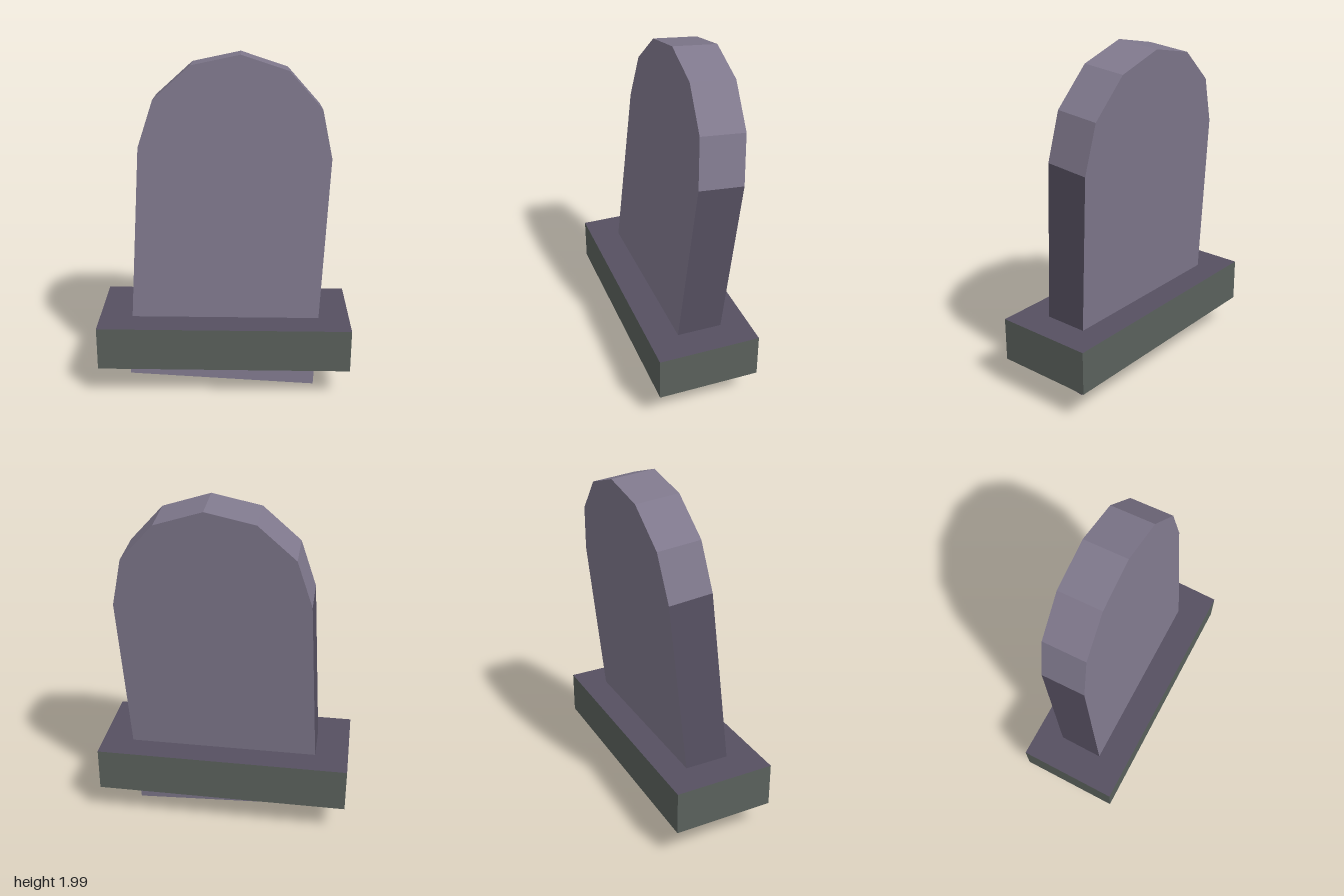
import * as THREE from 'three';

const stone = new THREE.MeshStandardMaterial({ name: 'paleStone', color: 0x7f788c, flatShading: true });
const darkStone = new THREE.MeshStandardMaterial({ name: 'darkStone', color: 0x565061, flatShading: true, side: THREE.DoubleSide });
const moss = new THREE.MeshStandardMaterial({ name: 'mossyStone', color: 0x5a615c, flatShading: true, side: THREE.DoubleSide });

// Arched slab: pale faces and arch, dark straight sides and underside
function makeSlab() {
  const radius = 0.556, shoulder = 1.397, depth = 0.26, segments = 6;
  const points = [new THREE.Vector2(-radius, 0), new THREE.Vector2(radius, 0)];
  for (let i = 0; i <= segments; i++) {
    const a = (i / segments) * Math.PI;
    points.push(new THREE.Vector2(Math.cos(a) * radius, shoulder + Math.sin(a) * radius));
  }
  const geometry = new THREE.ExtrudeGeometry(new THREE.Shape(points), { depth, bevelEnabled: false });
  geometry.translate(0, 0, -depth / 2);

  // Pick the colour of each triangle from the way it faces
  const normal = geometry.attributes.normal;
  geometry.clearGroups();
  for (let i = 0; i < normal.count; i += 3) {
    const dark = Math.abs(normal.getZ(i)) < 0.5 && normal.getY(i) < 0.01;
    geometry.addGroup(i, 3, dark ? 1 : 0);
  }
  const slab = new THREE.Mesh(geometry, [stone, darkStone]);
  slab.name = 'archedSlab';
  slab.position.set(-0.015, 0.047, 0.028);
  slab.rotation.set(THREE.MathUtils.degToRad(-5), 0, THREE.MathUtils.degToRad(-3));
  return slab;
}

// Plinth: four walls and a top, open underneath
function makePlinth() {
  const width = 1.49, height = 0.26, depth = 0.596;
  const plinth = new THREE.Group();
  plinth.name = 'plinth';
  plinth.position.y = 0.195;

  for (let i = 0; i < 4; i++) {
    const long = i % 2 === 0;
    const geometry = new THREE.PlaneGeometry(long ? width : depth, height);
    geometry.translate(0, height / 2, (long ? depth : width) / 2);
    const wall = new THREE.Mesh(geometry, moss);
    wall.name = ['frontWall', 'leftWall', 'backWall', 'rightWall'][i];
    wall.rotation.y = (i * Math.PI) / 2;
    plinth.add(wall);
  }

  const top = new THREE.Mesh(new THREE.PlaneGeometry(width, depth), darkStone);
  top.name = 'plinthTop';
  top.rotation.x = -Math.PI / 2;
  top.position.y = height;
  plinth.add(top);
  return plinth;
}

export function createModel() {
  const model = new THREE.Group();
  model.name = 'gravestone';
  model.add(makeSlab(), makePlinth());
  return model;
}
